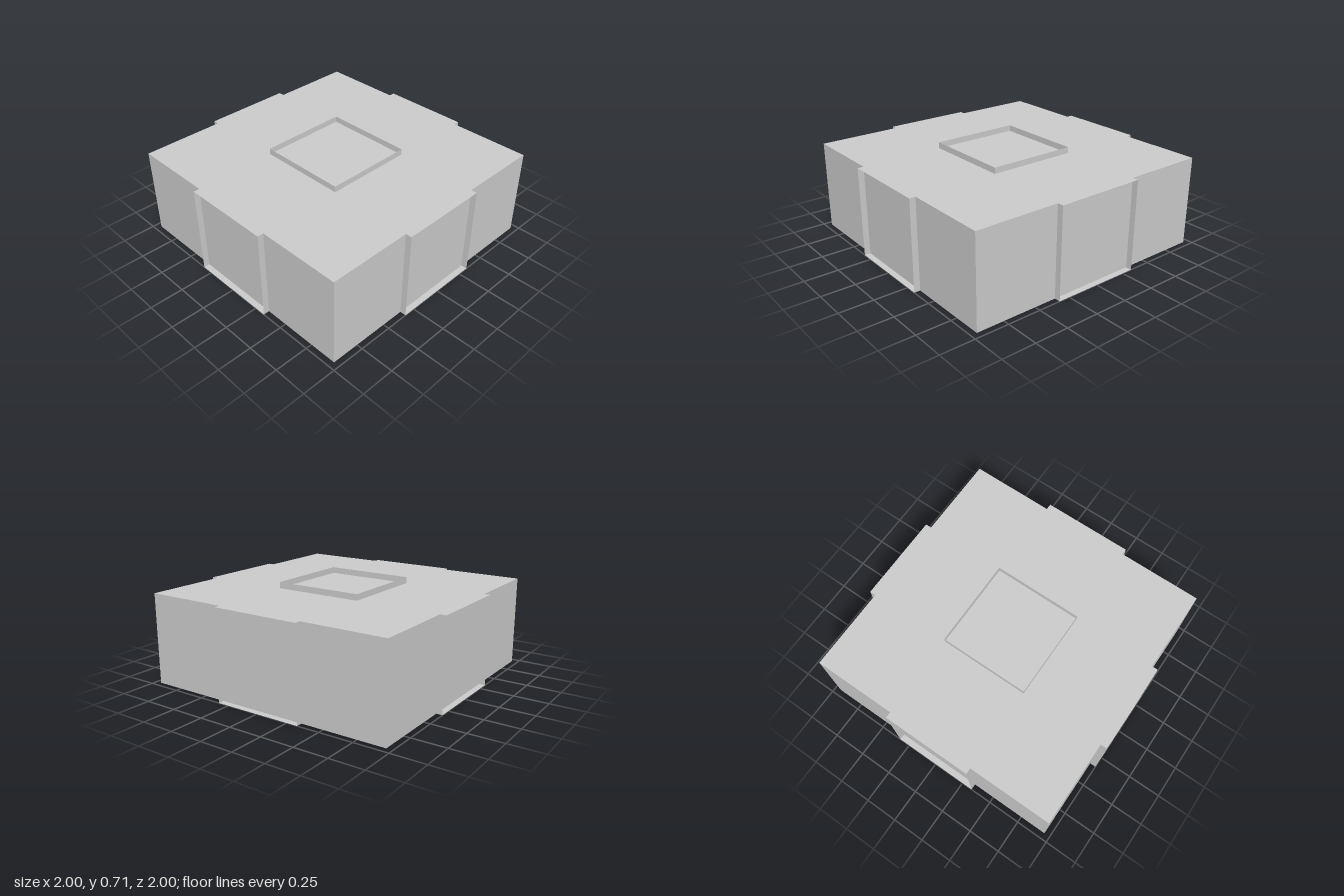
import * as THREE from 'three';

export function createModel() {
  const group = new THREE.Group();
  const half = 0.955, height = 0.667, socket = 0.667, depth = 0.045;

  const solid = new THREE.MeshStandardMaterial({ color: 0xcccccc, flatShading: true });
  const thin = new THREE.MeshStandardMaterial({ color: 0xcccccc, flatShading: true, side: THREE.DoubleSide });

  // Main block
  const body = new THREE.Mesh(new THREE.BoxGeometry(half * 2, height, half * 2), solid);
  body.name = 'body';
  body.position.y = height / 2;
  group.add(body);

  // Open square collar of four thin walls, its axis along y
  const collar = new THREE.CylinderGeometry(socket / Math.SQRT2, socket / Math.SQRT2, depth, 4, 1, true);
  collar.rotateY(Math.PI / 4);

  const topCollar = new THREE.Mesh(collar, thin);
  topCollar.name = 'topCollar';
  topCollar.position.y = height + depth / 2;
  group.add(topCollar);

  // One collar on each of the four sides
  const sideCollar = collar.clone().rotateX(Math.PI / 2).translate(0, height / 2, half + depth / 2);
  ['frontCollar', 'leftCollar', 'backCollar', 'rightCollar'].forEach((name, i) => {
    const mesh = new THREE.Mesh(sideCollar, thin);
    mesh.name = name;
    mesh.rotation.y = i * Math.PI / 2;
    group.add(mesh);
  });

  return group;
}
